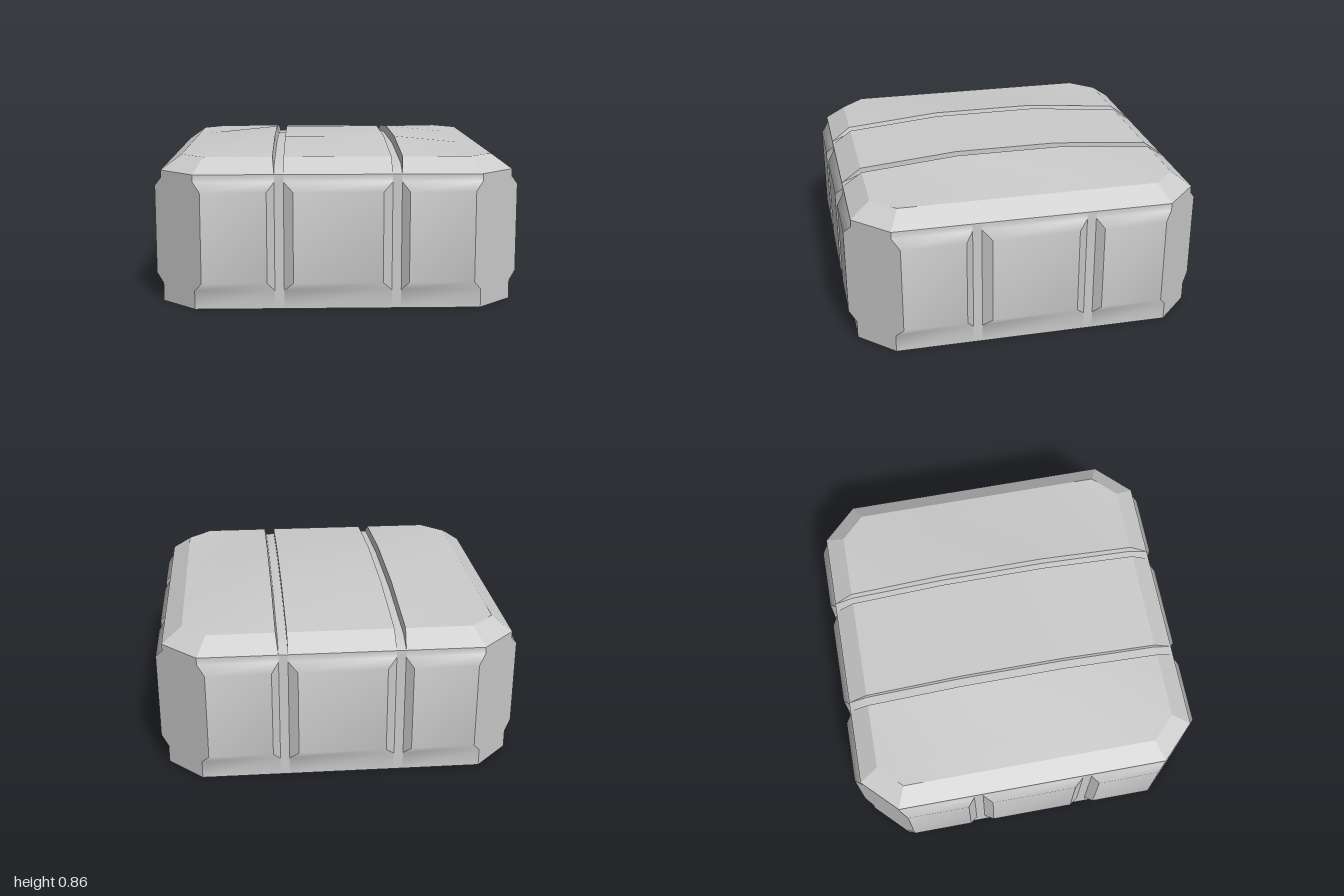
import * as THREE from 'three';

const material = new THREE.MeshStandardMaterial({ color: 0xcccccc });

// Skins a grid of points; normals are smooth within one skin, sharp between skins.
// Rows run along u, points along v; the outside faces u x v.
function skin(name, rows) {
  const n = rows[0].length;
  const index = [];
  for (let i = 0; i < rows.length - 1; i++) {
    for (let j = 0; j < n - 1; j++) {
      const a = i * n + j, b = a + n;
      index.push(a, b, b + 1, a, b + 1, a + 1);
    }
  }
  const geometry = new THREE.BufferGeometry();
  geometry.setAttribute('position', new THREE.Float32BufferAttribute(rows.flat(2), 3));
  geometry.setIndex(index);
  geometry.computeVertexNormals();
  const mesh = new THREE.Mesh(geometry, material);
  mesh.name = name;
  return mesh;
}

// Main sizes
const WALL = 0.96, PANEL = 1, CUT = 1.73;      // wall, raised panel, corner plane x + z
const RIM = 0.85, RIM_CUT = 1.57;              // inner edge of the lid bevel
const WALL_TOP = 0.73, RIM_Y = 0.81, TOP_Y = 0.86;
const IN = 0.29, OUT = 0.34, OUT_TOP = 0.35, FLAT = 0.3;   // groove edges, flat middle
const wallEnd = CUT - WALL, rimEnd = RIM_CUT - RIM;

// Wall profile: [height, distance from centre]
const profile = [[0, WALL], [0.1, WALL], [0.15, PANEL], [0.64, PANEL], [0.69, WALL], [WALL_TOP, WALL]];
const innerEdge = d => IN - (d - WALL) * 1.25;
const outerEdge = d => OUT + (d - WALL);
const cornerEdge = d => CUT - d;
const wallRow = edge => profile.map(([y, d]) => [edge(d), y, d]);

// One side wall with three raised panels, plus the cut corner at its right end
function createWall() {
  const wall = new THREE.Group();
  wall.name = 'sideWall';
  const minus = edge => d => -edge(d);
  wall.add(
    skin('centrePanel', [wallRow(minus(innerEdge)), wallRow(innerEdge)]),
    skin('rightPanel', [wallRow(outerEdge), wallRow(cornerEdge)]),
    skin('leftPanel', [wallRow(minus(cornerEdge)), wallRow(minus(outerEdge))]),
    skin('corner', [
      wallRow(cornerEdge),
      profile.map(([y, d]) => [d, y, CUT - d]),
    ]),
    skin('cornerBevel', [
      [[wallEnd, WALL_TOP, WALL], [rimEnd, RIM_Y, RIM]],
      [[WALL, WALL_TOP, wallEnd], [RIM, RIM_Y, rimEnd]],
    ]),
  );
  // Slots between panels: flat back and a bevel on either side
  const bevelRow = (s, edge) => [1, 4].map(k => [s * edge(WALL), profile[k][0], WALL]);
  const faceRow = (s, edge) => [2, 3].map(k => [s * edge(PANEL), profile[k][0], PANEL]);
  for (const s of [-1, 1]) {
    const order = rows => (s > 0 ? rows : rows.reverse());
    wall.add(
      skin('slotBack', order([IN, OUT].map(x => [[s * x, 0, WALL], [s * x, WALL_TOP, WALL]]))),
      skin('slotBevel', order([faceRow(s, innerEdge), bevelRow(s, innerEdge)])),
      skin('slotBevel', order([bevelRow(s, outerEdge), faceRow(s, outerEdge)])),
    );
  }
  return wall;
}

// Sloping lid edge along the front: from x0 to x1 below, x2 to x3 above
function rimBevel(x0, x1, x2, x3) {
  return skin('lidBevel', [
    [[x0, WALL_TOP, WALL], [x2, RIM_Y, RIM]],
    [[x1, WALL_TOP, WALL], [x3, RIM_Y, RIM]],
  ]);
}

// Crowned lid height
const ramp = (v, flat) => THREE.MathUtils.clamp((RIM - Math.abs(v)) / (RIM - flat), 0, 1);
const lidY = (x, z) => RIM_Y + (TOP_Y - RIM_Y) * ramp(x, OUT_TOP) * ramp(z, FLAT);
function lidRow(x) {
  const end = Math.min(RIM, RIM_CUT - Math.abs(x));
  return [end, FLAT, -FLAT, -end].map(z => [x, lidY(x, z), z]);
}

// One outer lid section with its groove and bevels
function createLidSide() {
  const side = new THREE.Group();
  side.name = 'lidSide';
  const line = (x0, x1, rimY, topY) => [
    [x0, WALL_TOP, WALL], [x1, rimY, RIM], [x1, topY, FLAT],
    [x1, topY, -FLAT], [x1, rimY, -RIM], [x0, WALL_TOP, -WALL],
  ];
  const floorIn = line(IN, IN, 0.775, 0.817);
  const floorOut = line(OUT, OUT, 0.775, 0.817);
  side.add(
    skin('lidSideTop', [OUT_TOP, rimEnd, RIM].map(lidRow)),
    skin('grooveFloor', [floorIn, floorOut]),
    skin('grooveInnerWall', [line(IN, IN, RIM_Y, TOP_Y), floorIn]),
    skin('grooveOuterWall', [floorOut, line(OUT, OUT_TOP, RIM_Y, TOP_Y)]),
    rimBevel(OUT, wallEnd, OUT_TOP, rimEnd),
    rimBevel(-wallEnd, -OUT, -rimEnd, -OUT_TOP),
    rimBevel(-IN, IN, -IN, IN),
  );
  const long = rimBevel(-wallEnd, wallEnd, -rimEnd, rimEnd);
  long.rotation.y = Math.PI / 2;
  side.add(long);
  return side;
}

export function createModel() {
  const model = new THREE.Group();
  model.name = 'box';

  // Four walls and corners
  for (let k = 0; k < 4; k++) {
    const wall = createWall();
    wall.rotation.y = k * Math.PI / 2;
    model.add(wall);
  }

  // Lid: centre strip and two outer sections
  model.add(skin('lidCentre', [lidRow(-IN), lidRow(IN)].map(row =>
    row.map(([x, , z]) => [x, lidY(0, z), z]))));
  for (let k = 0; k < 2; k++) {
    const side = createLidSide();
    side.rotation.y = k * Math.PI;
    model.add(side);
  }

  // Flat underside
  model.add(skin('underside', [-WALL, -wallEnd, wallEnd, WALL].map(x => {
    const end = Math.min(WALL, CUT - Math.abs(x));
    return [[x, 0, -end], [x, 0, end]];
  })));
  return model;
}
